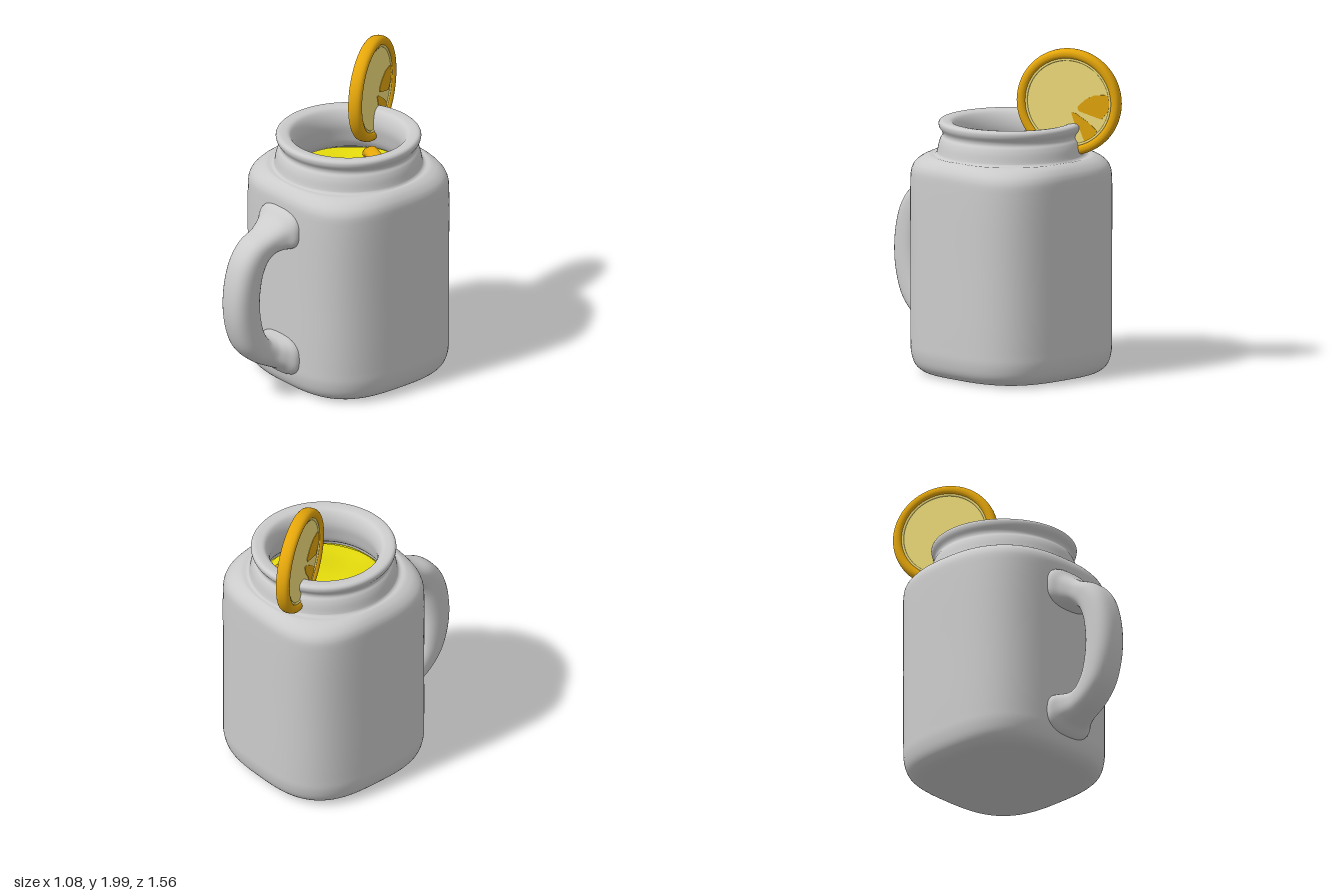
import * as THREE from 'three';

const SIDES = 96;
const JAR_Z = -0.155;
const mat = (color) => new THREE.MeshStandardMaterial({ color });
const glass = mat(0xcccccc);
const liquidMat = mat(0xe6dc0c);
const rindMat = mat(0xe5a60a);
const pulpMat = mat(0xf3e07c);

function addMesh(parent, name, geometry, material) {
  const m = new THREE.Mesh(geometry, material);
  m.name = name;
  parent.add(m);
  return m;
}

// Skin a list of closed rings; point(i, angle) gives each vertex
function loft(count, sides, point) {
  const pos = [], index = [];
  for (let i = 0; i < count; i++) {
    for (let j = 0; j < sides; j++) {
      pos.push(...point(i, (j / sides) * Math.PI * 2).toArray());
      if (i === count - 1) continue;
      const a = i * sides + j, b = i * sides + (j + 1) % sides;
      index.push(a, a + sides, b, b, a + sides, b + sides);
    }
  }
  const g = new THREE.BufferGeometry();
  g.setAttribute('position', new THREE.Float32BufferAttribute(pos, 3));
  g.setIndex(index);
  g.computeVertexNormals();
  return g;
}

// Superellipse: n = 2 is a circle, larger n is squarer
function superellipse(angle, n) {
  const c = Math.cos(angle), s = Math.sin(angle);
  const k = Math.pow(Math.pow(Math.abs(c), n) + Math.pow(Math.abs(s), n), -1 / n);
  return [c * k, s * k];
}

// Profile rows are [half width, height, squareness]
function profileLoft(rows, steps) {
  const curve = new THREE.CatmullRomCurve3(rows.map((r) => new THREE.Vector3(...r)), false, 'centripetal');
  const pts = curve.getPoints((rows.length - 1) * steps);
  return loft(pts.length, SIDES, (i, a) => {
    const p = pts[i], [c, s] = superellipse(a, Math.max(2, p.z));
    const r = Math.max(0, p.x);
    return new THREE.Vector3(c * r, p.y, s * r);
  });
}

function makeJar() {
  return profileLoft([
    // underside and square body
    [0, 0.012, 3], [0.3, 0.01, 3], [0.42, 0.006, 3], [0.47, 0.015, 3], [0.515, 0.055, 3], [0.537, 0.13, 3],
    [0.54, 0.22, 3], [0.54, 0.7, 3], [0.54, 1.2, 3],
    // shoulder rounding into the neck
    [0.535, 1.26, 2.9], [0.512, 1.305, 2.7], [0.475, 1.335, 2.35], [0.449, 1.346, 2], [0.445, 1.36, 2],
    // threaded neck and lip
    [0.436, 1.405, 2], [0.425, 1.435, 2], [0.413, 1.455, 2], [0.415, 1.475, 2], [0.434, 1.505, 2],
    [0.437, 1.53, 2], [0.425, 1.544, 2], [0.39, 1.545, 2], [0.36, 1.537, 2], [0.342, 1.515, 2],
    // inner wall and floor
    [0.328, 1.475, 2], [0.325, 1.43, 2], [0.337, 1.37, 2], [0.35, 1.32, 2], [0.38, 1.27, 2.2],
    [0.46, 1.2, 2.8], [0.48, 1.1, 3], [0.48, 0.2, 3], [0.4, 0.08, 3], [0, 0.07, 3],
  ], 4);
}

function makeLiquid() {
  const g = profileLoft([
    [0, 0.09, 3], [0.39, 0.1, 3], [0.465, 0.21, 3], [0.465, 1.08, 3], [0.44, 1.18, 2.7],
    [0.365, 1.265, 2.2], [0.34, 1.28, 2], [0.25, 1.28, 2], [0.12, 1.28, 2], [0, 1.28, 2],
  ], 5);
  // gentle ripples on the surface
  const p = g.attributes.position;
  for (let i = 0; i < p.count; i++) {
    if (p.getY(i) < 1.24) continue;
    const x = p.getX(i), z = p.getZ(i);
    p.setY(i, p.getY(i) + 0.012 * Math.sin(9 * x + 2 * z) * Math.cos(11 * z - 3 * x + 0.6));
  }
  g.computeVertexNormals();
  return g;
}

function makeHandle() {
  // Sections from top to bottom: outer z, outer y, inner z, inner y, half width
  const rows = [
    [0.33, 1.215, 0.33, 0.95, 0.172], [0.395, 1.205, 0.395, 0.955, 0.174], [0.45, 1.15, 0.43, 0.955, 0.14],
    [0.53, 1.095, 0.48, 0.945, 0.112], [0.64, 1.045, 0.53, 0.905, 0.106], [0.72, 0.955, 0.565, 0.83, 0.105],
    [0.77, 0.82, 0.582, 0.74, 0.105], [0.788, 0.65, 0.587, 0.65, 0.105], [0.77, 0.5, 0.577, 0.55, 0.105],
    [0.715, 0.36, 0.555, 0.46, 0.105], [0.61, 0.255, 0.51, 0.388, 0.106], [0.52, 0.205, 0.465, 0.373, 0.112],
    [0.45, 0.17, 0.43, 0.372, 0.14], [0.395, 0.125, 0.395, 0.374, 0.174], [0.33, 0.115, 0.33, 0.376, 0.172],
  ];
  const spline = (f) => new THREE.CatmullRomCurve3(rows.map(f));
  const outer = spline((r) => new THREE.Vector3(0, r[1], r[0]));
  const inner = spline((r) => new THREE.Vector3(0, r[3], r[2]));
  const width = spline((r, i) => new THREE.Vector3(r[4], i, 0));
  const count = 71;
  return loft(count, 40, (i, a) => {
    const t = i / (count - 1), [c, s] = superellipse(a, 2.7);
    const p = inner.getPoint(t).lerp(outer.getPoint(t), 0.5 + 0.5 * c);
    p.x = width.getPoint(t).x * s;
    return p;
  });
}

// Citrus slice facing local z
function makeSlice(name) {
  const slice = new THREE.Group();
  slice.name = name;

  // rounded rind ring
  const ring = [];
  for (let i = 0; i <= 24; i++) {
    const [c, s] = superellipse((i / 24) * Math.PI * 2, 2.5);
    ring.push(new THREE.Vector2(0.294 + 0.031 * c, 0.042 * s));
  }
  addMesh(slice, 'rind', new THREE.LatheGeometry(ring, 72).rotateX(Math.PI / 2), rindMat);

  // pith border with a slightly sunken pulp disc
  addMesh(slice, 'pith', new THREE.CylinderGeometry(0.29, 0.29, 0.046, 72).rotateX(Math.PI / 2), pulpMat);
  for (const side of [-1, 1]) {
    const edge = addMesh(slice, 'pithEdge', new THREE.TorusGeometry(0.262, 0.008, 8, 72), pulpMat);
    edge.position.z = side * 0.022;
  }

  // two darker pulp segments on each face
  const wedges = [
    [[0.06, -0.025], [0.11, 0.02], [0.17, 0.05], [0.24, 0.055], [0.285, 0.045], [0.285, -0.02], [0.22, -0.095], [0.15, -0.075], [0.07, -0.05]],
    [[0.02, -0.06], [0.05, -0.065], [0.13, -0.115], [0.19, -0.165], [0.16, -0.22], [0.11, -0.245], [0.08, -0.17], [0.04, -0.12]],
  ];
  for (const turn of [0, Math.PI]) {
    const face = new THREE.Group();
    face.name = 'pulpSegments';
    face.rotation.y = turn;
    for (const w of wedges) {
      const shape = new THREE.Shape(w.map(([x, y]) => new THREE.Vector2(x * 0.95, y)));
      const g = new THREE.ExtrudeGeometry(shape, { depth: 0.008, bevelEnabled: false });
      addMesh(face, 'pulpSegment', g, rindMat).position.z = 0.018;
    }
    slice.add(face);
  }
  return slice;
}

export function createModel() {
  const model = new THREE.Group();
  model.name = 'handledJar';

  addMesh(model, 'jar', makeJar(), glass).position.z = JAR_Z;
  addMesh(model, 'liquid', makeLiquid(), liquidMat).position.z = JAR_Z;
  addMesh(model, 'handle', makeHandle(), glass);

  // slice hooked on the rim
  const rimSlice = makeSlice('rimSlice');
  rimSlice.position.set(-0.167, 1.675, -0.482);
  rimSlice.rotation.y = Math.atan2(0.87, -0.49);
  model.add(rimSlice);

  // slice leaning in the drink
  const floating = makeSlice('floatingSlice');
  floating.position.set(0.09, 1.075, -0.41);
  floating.rotation.set(0.35, Math.atan2(-0.4, 0.92), 0, 'YXZ');
  model.add(floating);

  return model;
}
